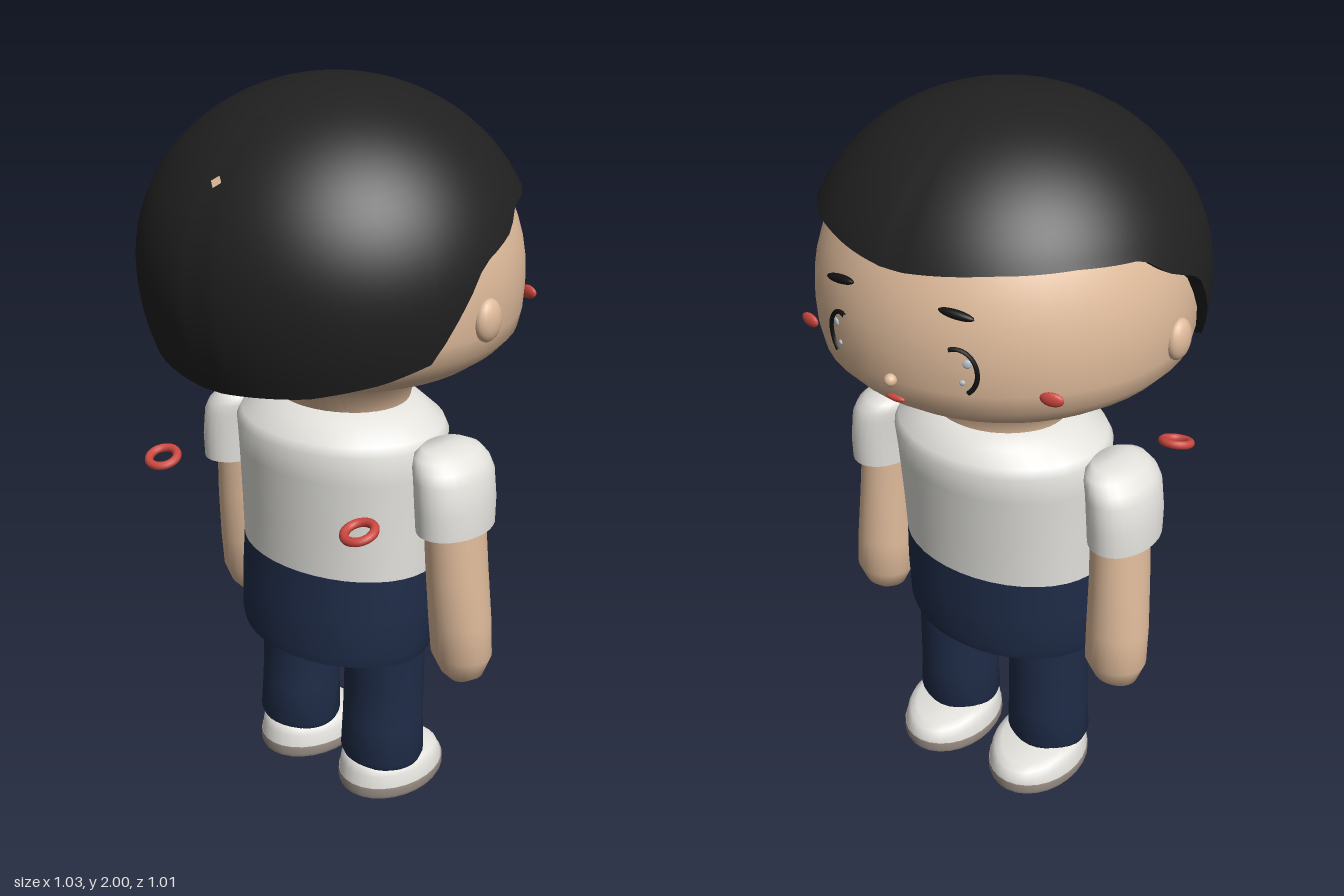
import * as THREE from 'three';
import { toCreasedNormals } from 'three/addons/utils/BufferGeometryUtils.js';

const mat = (name, color, side = THREE.FrontSide) => {
  const m = new THREE.MeshStandardMaterial({ color, side });
  m.name = name;
  return m;
};

// Stacked elliptical rings [y, rx, rz, cx, cz], from bottom to top, with closed ends
function loft(rows, seg = 40, crease = 0.8) {
  const pos = [], idx = [];
  for (const [y, rx, rz, cx = 0, cz = 0] of rows)
    for (let j = 0; j < seg; j++) {
      const a = (j / seg) * Math.PI * 2;
      pos.push(cx + rx * Math.cos(a), y, cz + rz * Math.sin(a));
    }
  const n = rows.length;
  for (let i = 0; i < n - 1; i++)
    for (let j = 0; j < seg; j++) {
      const k = (j + 1) % seg, p = i * seg, q = p + seg;
      idx.push(p + j, q + j, p + k, q + j, q + k, p + k);
    }
  const low = n * seg, high = low + 1, last = (n - 1) * seg;
  for (const [y, , , cx = 0, cz = 0] of [rows[0], rows[n - 1]]) pos.push(cx, y, cz);
  for (let j = 0; j < seg; j++) {
    const k = (j + 1) % seg;
    idx.push(low, j, k, high, last + k, last + j);
  }
  const g = new THREE.BufferGeometry();
  g.setAttribute('position', new THREE.Float32BufferAttribute(pos, 3));
  g.setIndex(idx);
  return toCreasedNormals(g, crease);
}

// Linear lookup in a list of [key, value]
function lookup(table, v) {
  if (v <= table[0][0]) return table[0][1];
  for (let i = 1; i < table.length; i++)
    if (v <= table[i][0]) {
      const [a, fa] = table[i - 1], [b, fb] = table[i];
      return fa + ((fb - fa) * (v - a)) / (b - a);
    }
  return table[table.length - 1][1];
}

// Head radius at a height; the face is the -z side
const jaw = [[1.24, 0.21], [1.305, 0.385], [1.34, 0.435], [1.38, 0.472], [1.43, 0.483], [1.5, 0.487]];
const headRadius = (y) => y < 1.5 ? lookup(jaw, y) : 0.487 * Math.sqrt(Math.max(0, 1 - ((y - 1.5) / 0.47) ** 2));
const onFace = (x, y, lift) => new THREE.Vector3(x, y, -Math.sqrt(headRadius(y) ** 2 - x * x) - lift);

// Hair cap: ellipsoid shell cut along a hairline that depends on the angle from the face
const hairline = [[0, 1.705], [0.5, 1.725], [0.92, 1.73], [1.28, 1.72], [1.43, 1.67], [1.68, 1.62],
  [1.81, 1.525], [1.96, 1.40], [2.2, 1.36], [2.57, 1.32], [Math.PI, 1.295]];
const hairRadius = (y) => y > 1.54 ? 0.51 * Math.sqrt(Math.max(0, 1 - ((y - 1.54) / 0.46) ** 2)) : 0.51 - 0.87 * (1.54 - y) ** 2;
function hairGeometry() {
  const seg = 96, rows = 28, pos = [], idx = [];
  for (let i = 0; i <= rows + 1; i++)
    for (let j = 0; j < seg; j++) {
      const a = (j / seg) * Math.PI * 2;
      const edge = lookup(hairline, Math.min(a, Math.PI * 2 - a));
      const t = Math.min(i / rows, 1);
      const y = 2 - (2 - edge) * t * t;
      const parting = j % (seg / 2) === 0 ? 0.988 : 1;
      const r = hairRadius(y) * parting * (i > rows ? 0.93 : 1);
      pos.push(Math.sin(a) * r * 1.01, y, -Math.cos(a) * r * 0.99);
    }
  for (let i = 0; i <= rows; i++)
    for (let j = 0; j < seg; j++) {
      const k = (j + 1) % seg, p = i * seg, q = p + seg;
      idx.push(p + j, p + k, q + j, p + k, q + k, q + j);
    }
  const g = new THREE.BufferGeometry();
  g.setAttribute('position', new THREE.Float32BufferAttribute(pos, 3));
  g.setIndex(idx);
  return toCreasedNormals(g, 0.8);
}

export function createModel() {
  const model = new THREE.Group();
  model.name = 'figure';
  const skin = mat('skin', 0xdfbb9b), hair = mat('hair', 0x202020, THREE.DoubleSide);
  const cloth = mat('white cloth', 0xe4e3de), navy = mat('navy cloth', 0x1f2c48);
  const sole = mat('sole', 0x9c9088), red = mat('red', 0xcc4840);
  const ink = mat('black', 0x121212), glint = mat('eye glint', 0xb9c6d0);

  const add = (name, geo, material, p = [0, 0, 0], rot = [0, 0, 0], scale = [1, 1, 1]) => {
    const m = new THREE.Mesh(geo, material);
    m.name = name;
    m.position.set(...p);
    m.rotation.set(...rot);
    m.scale.set(...scale);
    model.add(m);
    return m;
  };
  const ball = new THREE.SphereGeometry(1, 20, 14);

  // Head and neck
  const headRows = [[1.12, 0.18, 0.16, 0, -0.04], [1.16, 0.185, 0.165, 0, -0.035], [1.235, 0.212, 0.205, 0, -0.01]];
  for (const [y, r] of jaw.slice(1)) headRows.push([y, r, r]);
  for (let i = 1; i <= 14; i++) {
    const y = 1.5 + 0.47 * Math.sin((i / 14) * Math.PI * 0.495);
    headRows.push([y, headRadius(y), headRadius(y)]);
  }
  add('head', loft(headRows, 48, 1.2), skin);
  add('hair', hairGeometry(), hair);
  add('hairGap', new THREE.CircleGeometry(0.017, 4), skin, [0, 1.8, 0.417], [-0.75, 0, 0]);

  // Face centre
  add('nose', ball, skin, [0, 1.435, -0.49], [0, 0, 0], [0.016, 0.016, 0.016]);
  add('mouth', ball, red, [0, 1.38, -0.473], [0, 0, 0], [0.027, 0.009, 0.009]);

  // Torso
  add('shirt', loft([[0.72, 0.3, 0.22, 0, -0.015], [0.85, 0.302, 0.23, 0, -0.018], [1.0, 0.305, 0.246, 0, -0.022],
    [1.08, 0.308, 0.256, 0, -0.025], [1.105, 0.295, 0.245, 0, -0.026], [1.14, 0.23, 0.205, 0, -0.035],
    [1.165, 0.18, 0.172, 0, -0.038]], 40, 1), cloth);
  add('shorts', loft([[0.46, 0.292, 0.218, 0, -0.003], [0.49, 0.302, 0.224, 0, -0.005], [0.6, 0.305, 0.222, 0, -0.01],
    [0.72, 0.3, 0.22, 0, -0.015]]), navy);

  for (const s of [1, -1]) {
    const side = s > 0 ? 'left' : 'right';
    const limb = (name, rows, material) =>
      add(side + name, loft(rows.map(([y, rx, rz, cx, cz]) => [y, rx, rz, s * cx, cz]), 28, 0.9), material);

    // Eye: lash arc hugging the face, with two glints, and a brow
    const arc = [];
    for (let i = 0; i <= 12; i++) {
      const a = 1.9 - (i / 12) * 2.9;
      arc.push(onFace(s * (0.165 + 0.047 * Math.cos(a)), 1.49 + 0.06 * Math.sin(a), 0.002));
    }
    add(side + 'Lash', new THREE.TubeGeometry(new THREE.CatmullRomCurve3(arc), 24, 0.006, 6), ink);
    for (const [x, y, r] of [[0.19, 1.515, 0.011], [0.178, 1.465, 0.007]])
      add(side + 'EyeGlint', ball, glint, onFace(s * x, y, 0).toArray(), [0, -s * 0.4, 0], [r, r, 0.004]);
    add(side + 'Brow', ball, ink, [s * 0.165, 1.635, -0.452], [0, -s * 0.15, -s * 0.1], [0.045, 0.011, 0.012]);

    // Cheek and ear
    add(side + 'Cheek', ball, red, [s * 0.358, 1.433, -0.355], [0, -s * 0.2, 0], [0.03, 0.018, 0.01]);
    add(side + 'Ear', ball, skin, [s * 0.487, 1.47, 0.005], [0, 0, 0], [0.027, 0.054, 0.044]);

    // Sleeve and arm
    limb('Sleeve', [[0.885, 0.088, 0.126, 0.388, -0.03], [0.95, 0.089, 0.131, 0.386, -0.03],
      [1.03, 0.087, 0.13, 0.378, -0.03], [1.06, 0.083, 0.124, 0.368, -0.03], [1.085, 0.07, 0.108, 0.355, -0.03],
      [1.1, 0.048, 0.075, 0.345, -0.03]], cloth);
    limb('Arm', [[0.415, 0.03, 0.03, 0.4, -0.062], [0.437, 0.062, 0.052, 0.4, -0.064], [0.495, 0.086, 0.078, 0.397, -0.064],
      [0.6, 0.085, 0.084, 0.394, -0.056], [0.75, 0.079, 0.09, 0.387, -0.045], [0.92, 0.074, 0.093, 0.378, -0.037]], skin);

    // Leg and shoe
    limb('Leg', [[0.09, 0.115, 0.105, 0.159, -0.022], [0.11, 0.122, 0.114, 0.159, -0.022], [0.22, 0.118, 0.109, 0.158, -0.025],
      [0.35, 0.116, 0.108, 0.158, -0.028], [0.44, 0.12, 0.118, 0.157, -0.02], [0.52, 0.12, 0.12, 0.157, -0.015]], navy);
    limb('Sole', [[0, 0.13, 0.17, 0.155, -0.068], [0.012, 0.136, 0.174, 0.155, -0.068], [0.034, 0.135, 0.173, 0.155, -0.068]], sole);
    const shoe = limb('Shoe', [[0.034, 0.133, 0.171, 0.155, -0.068], [0.07, 0.128, 0.166, 0.155, -0.068],
      [0.092, 0.118, 0.156, 0.155, -0.066], [0.1, 0.1, 0.14, 0.155, -0.062]], cloth);
    // Slope the toe downwards
    const v = shoe.geometry.attributes.position;
    for (let i = 0; i < v.count; i++) {
      const toe = Math.max(0, -0.13 - v.getZ(i)) * 0.3;
      if (v.getY(i) > 0.05) v.setY(i, v.getY(i) - toe);
    }

    // Loose ring behind the shoulder
    add(side + 'Ring', new THREE.TorusGeometry(0.039, 0.012, 10, 28), red, [s * 0.35, 0.977, 0.312],
      [Math.PI / 2 + 0.3, s * 0.08, 0]);
  }
  return model;
}
